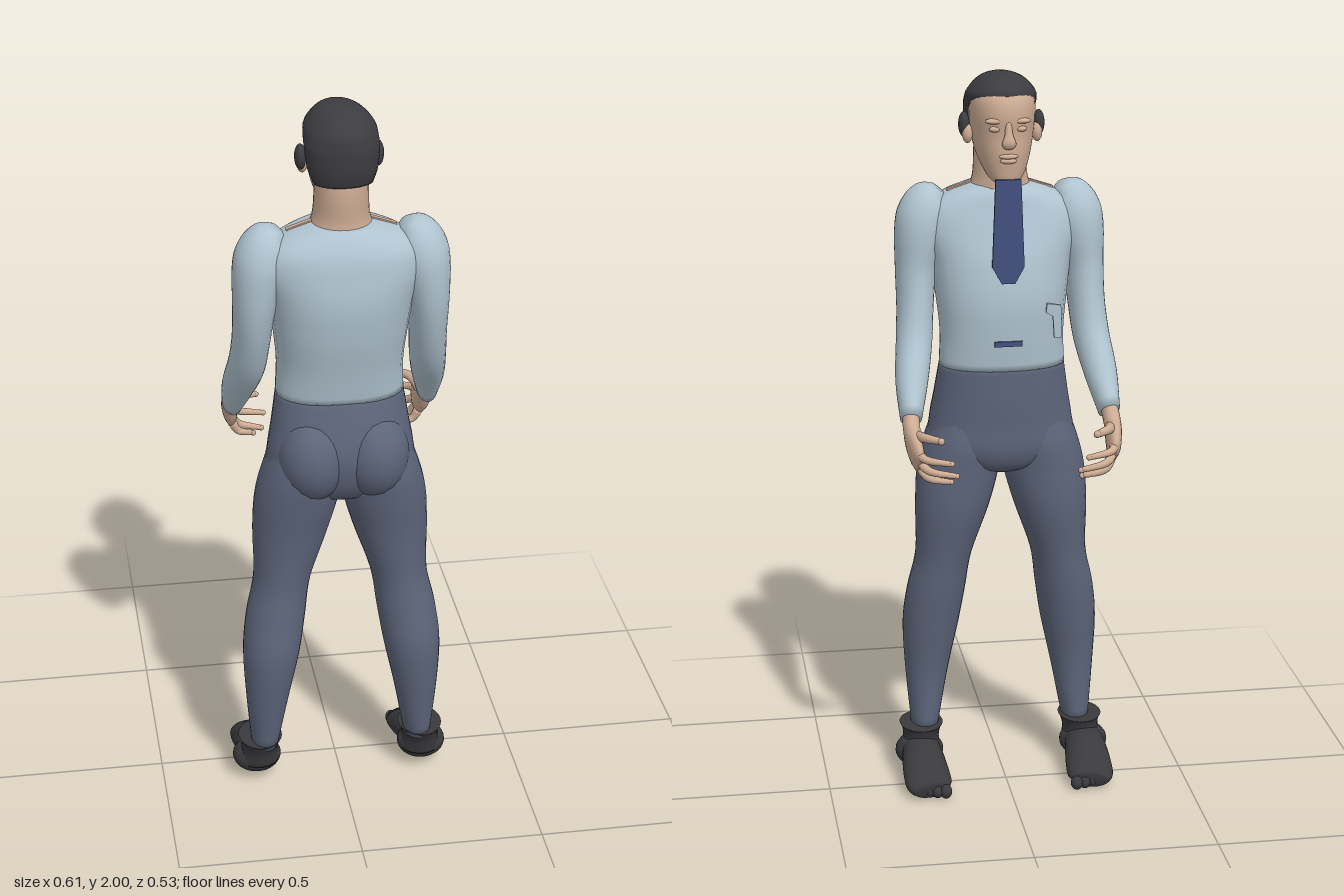
import * as THREE from 'three';

const mat = (name, color) => {
  const m = new THREE.MeshStandardMaterial({ color });
  m.name = name;
  return m;
};

// Smooth skin over rings. Each row is [x, y, z, radius across, radius deep].
function loft(rows, { flat = false, power = 2, sides = 28, sub = 5 } = {}) {
  const spline = pts => new THREE.CatmullRomCurve3(pts, false, 'catmullrom', 0.5);
  const path = spline(rows.map(r => new THREE.Vector3(r[0], r[1], r[2])));
  const size = spline(rows.map(r => new THREE.Vector3(r[3], r[4], 0)));
  const steps = (rows.length - 1) * sub;
  const pos = [], idx = [];
  const bend = v => Math.sign(v) * Math.abs(v) ** (2 / power);
  for (let i = 0; i <= steps; i++) {
    const c = path.getPoint(i / steps), r = size.getPoint(i / steps);
    const t = flat ? new THREE.Vector3(0, 1, 0) : path.getTangent(i / steps);
    if (flat && rows[0][1] > rows[rows.length - 1][1]) t.negate();
    const a = new THREE.Vector3(1, 0, 0).addScaledVector(t, -t.x).normalize();
    const b = new THREE.Vector3().crossVectors(a, t);
    for (let j = 0; j < sides; j++) {
      const th = j / sides * Math.PI * 2;
      const p = c.clone()
        .addScaledVector(a, bend(Math.cos(th)) * Math.max(r.x, 0.002))
        .addScaledVector(b, bend(Math.sin(th)) * Math.max(r.y, 0.002));
      pos.push(p.x, p.y, p.z);
    }
  }
  for (let i = 0; i < steps; i++) for (let j = 0; j < sides; j++) {
    const k = (j + 1) % sides, p = i * sides, q = p + sides;
    idx.push(p + j, q + j, p + k, p + k, q + j, q + k);
  }
  // end caps
  const first = path.getPoint(0), last = path.getPoint(1), n = pos.length / 3;
  pos.push(first.x, first.y, first.z, last.x, last.y, last.z);
  for (let j = 0; j < sides; j++) {
    const k = (j + 1) % sides, e = steps * sides;
    idx.push(n, j, k, n + 1, e + k, e + j);
  }
  const g = new THREE.BufferGeometry();
  g.setAttribute('position', new THREE.Float32BufferAttribute(pos, 3));
  g.setIndex(idx);
  g.computeVertexNormals();
  return g;
}

// Level rings for the body: [y, half width, front z, back z]
const level = (rows, power) => loft(
  rows.map(([y, w, f, b]) => [0, y, (f + b) / 2, w, (b - f) / 2]), { flat: true, power });

export function createModel() {
  const model = new THREE.Group();
  const skin = mat('skin', 0xcdac94), shirt = mat('shirt', 0xb0c4d0), trousers = mat('trousers', 0x5d657a);
  const dark = mat('hair', 0x3d3c40), shoe = mat('shoes', 0x3a393c), navy = mat('tie', 0x42517f);

  const add = (name, geo, material, parent = model) => {
    const m = new THREE.Mesh(geo, material);
    m.name = name;
    parent.add(m);
    return m;
  };
  const ball = (name, material, p, r, parent) => {
    const m = add(name, new THREE.SphereGeometry(1, 24, 16), material, parent);
    m.position.set(...p);
    m.scale.set(...r);
    return m;
  };

  // Shirt body
  add('shirtBody', level([
    [1.21, 0.171, -0.036, 0.197], [1.3, 0.168, -0.046, 0.215], [1.4, 0.178, -0.05, 0.238],
    [1.5, 0.192, -0.034, 0.25], [1.58, 0.215, -0.008, 0.243], [1.635, 0.205, 0.01, 0.232],
    [1.675, 0.15, 0.022, 0.212], [1.7, 0.08, 0.035, 0.192]], 2.3), shirt);

  // Trouser seat
  add('trouserSeat', level([
    [1.217, 0.17, -0.035, 0.196], [1.12, 0.185, -0.035, 0.225], [1.05, 0.197, -0.032, 0.235],
    [0.98, 0.2, -0.03, 0.22], [0.93, 0.14, -0.01, 0.19], [0.905, 0.05, 0.03, 0.15]], 2.2), trousers);

  // Neck and head
  add('neck', level([[1.66, 0.1, 0.03, 0.2], [1.71, 0.076, 0.028, 0.19], [1.78, 0.07, 0.03, 0.194],
    [1.85, 0.07, 0.03, 0.19]]), skin);
  const head = new THREE.Group();
  head.name = 'head';
  model.add(head);
  add('face', level([
    [1.716, 0.02, -0.03, 0.01], [1.73, 0.042, -0.041, 0.06], [1.76, 0.06, -0.046, 0.12],
    [1.8, 0.074, -0.05, 0.18], [1.85, 0.083, -0.048, 0.197], [1.9, 0.087, -0.052, 0.2],
    [1.94, 0.084, -0.043, 0.194], [1.97, 0.066, -0.018, 0.165], [1.985, 0.035, 0.02, 0.12]], 2.15), skin, head);
  add('hair', level([
    [1.815, 0.076, 0.1, 0.195], [1.85, 0.09, 0.062, 0.206], [1.9, 0.096, 0.035, 0.21],
    [1.925, 0.096, -0.005, 0.209], [1.95, 0.09, -0.036, 0.203], [1.98, 0.064, -0.015, 0.174],
    [1.995, 0.034, 0.025, 0.13], [2, 0.005, 0.07, 0.085]]), dark, head);
  add('nose', loft([[0, 1.885, -0.042, 0.008, 0.01], [0, 1.855, -0.052, 0.011, 0.011],
    [0, 1.832, -0.056, 0.019, 0.013], [0, 1.82, -0.048, 0.013, 0.007]]), skin, head);
  ball('upperLip', skin, [0, 1.797, -0.047], [0.026, 0.007, 0.011], head);
  ball('lowerLip', skin, [0, 1.785, -0.045], [0.022, 0.008, 0.011], head);

  // Tie hanging clear of the collar
  const tie = new THREE.Shape([[-0.034, 1.735], [-0.043, 1.5], [-0.018, 1.455], [0.018, 1.455], [0.043, 1.5], [0.034, 1.735]]
    .map(p => new THREE.Vector2(...p)));
  add('tie', new THREE.ExtrudeGeometry(tie, { depth: 0.009, bevelEnabled: false }), navy).position.z = -0.047;
  add('shirtSlit', new THREE.BoxGeometry(0.075, 0.014, 0.008), navy).position.set(0, 1.29, -0.046);

  // Pocket tab on one side of the chest
  const tab = new THREE.Shape([[-0.02, 1.3], [0, 1.3], [0.004, 1.36], [0.022, 1.37], [0.02, 1.395], [-0.018, 1.39]]
    .map(p => new THREE.Vector2(...p)));
  add('pocketTab', new THREE.ExtrudeGeometry(tab, { depth: 0.009, bevelEnabled: false }), shirt)
    .position.set(-0.125, 0, -0.04);

  for (const s of [1, -1]) {
    const side = s > 0 ? 'left' : 'right';
    const limb = rows => rows.map(([x, ...r]) => [x * s, ...r]);

    // Ear, eye and collar gap
    ball(side + 'EarRim', dark, [0.1 * s, 1.862, 0.078], [0.015, 0.034, 0.024], head);
    ball(side + 'EarLobe', skin, [0.093 * s, 1.84, 0.064], [0.014, 0.026, 0.016], head);
    ball(side + 'Eyelid', skin, [0.034 * s, 1.868, -0.037], [0.016, 0.008, 0.011], head);
    ball(side + 'Brow', skin, [0.034 * s, 1.889, -0.037], [0.027, 0.008, 0.013], head);
    const gap = add(side + 'CollarGap', new THREE.BoxGeometry(0.075, 0.009, 0.016), skin);
    gap.position.set(0.107 * s, 1.69, 0.112);
    gap.rotation.z = -0.32 * s;

    // Sleeve
    add(side + 'Sleeve', loft(limb([
      [0.165, 1.685, 0.118, 0.02, 0.03], [0.185, 1.66, 0.118, 0.058, 0.062], [0.203, 1.615, 0.118, 0.073, 0.08],
      [0.216, 1.56, 0.118, 0.069, 0.085], [0.228, 1.47, 0.114, 0.056, 0.08], [0.234, 1.37, 0.09, 0.05, 0.072],
      [0.242, 1.28, 0.052, 0.049, 0.062], [0.257, 1.19, -0.015, 0.044, 0.05],
      [0.268, 1.105, -0.085, 0.029, 0.044]])), shirt);

    // Hand: palm, thumb and four curled fingers
    const hand = new THREE.Group();
    hand.name = side + 'Hand';
    model.add(hand);
    add('palm', loft(limb([
      [0.268, 1.115, -0.077, 0.023, 0.032], [0.27, 1.085, -0.115, 0.023, 0.03], [0.268, 1.055, -0.15, 0.022, 0.045],
      [0.262, 1.028, -0.185, 0.018, 0.047], [0.256, 1.012, -0.203, 0.009, 0.035]]), { sides: 18 }), skin, hand);
    const digits = {
      thumb: [[0.262, 1.075, -0.135], [0.245, 1.086, -0.195], [0.207, 1.088, -0.238]],
      indexFinger: [[0.264, 1.045, -0.185], [0.245, 1.038, -0.236], [0.182, 1.032, -0.26]],
      middleFinger: [[0.262, 1.024, -0.188], [0.235, 1.002, -0.222], [0.166, 0.988, -0.23]],
      ringFinger: [[0.26, 1.008, -0.178], [0.236, 0.975, -0.197], [0.176, 0.96, -0.194]],
      littleFinger: [[0.26, 1.0, -0.158], [0.242, 0.972, -0.162], [0.203, 0.966, -0.155]],
    };
    for (const [name, [a, b, c]] of Object.entries(digits)) {
      const r = name === 'thumb' ? 0.013 : 0.0105;
      add(name, loft(limb([[...a, r * 1.2, r * 1.2], [...b, r, r], [...c, r * 0.7, r * 0.7]]), { sides: 12 }), skin, hand);
      ball(name + 'Tip', skin, [c[0] * s, c[1], c[2]], [r * 0.75, r * 0.75, r * 0.75], hand);
    }

    // Trouser leg and buttock
    ball(side + 'Buttock', trousers, [0.083 * s, 1.045, 0.15], [0.094, 0.125, 0.109]);
    add(side + 'TrouserLeg', loft(limb([
      [0.1, 1.1, 0.105, 0.07, 0.1], [0.107, 1, 0.104, 0.102, 0.124], [0.119, 0.91, 0.1, 0.113, 0.119],
      [0.137, 0.8, 0.093, 0.102, 0.108], [0.161, 0.66, 0.1, 0.078, 0.091], [0.181, 0.55, 0.113, 0.081, 0.09],
      [0.196, 0.44, 0.128, 0.078, 0.088], [0.208, 0.3, 0.13, 0.06, 0.07], [0.217, 0.13, 0.117, 0.037, 0.057]]),
    { flat: true }), trousers);

    // Shoe with flared cuff, heel and toes
    const foot = new THREE.Group();
    foot.name = side + 'Shoe';
    model.add(foot);
    add('cuff', loft(limb([[0.232, 0.06, 0.088, 0.06, 0.06], [0.23, 0.105, 0.098, 0.051, 0.062],
      [0.228, 0.132, 0.103, 0.054, 0.07], [0.228, 0.146, 0.104, 0.061, 0.077]]), { flat: true }), shoe, foot);
    ball('heel', shoe, [0.236, 0.07, 0.085].map((v, i) => i ? v : v * s), [0.068, 0.05, 0.06], foot);
    add('upper', loft(limb([[0.233, 0.085, 0.085, 0.05, 0.04], [0.233, 0.07, 0.03, 0.058, 0.05],
      [0.231, 0.049, -0.03, 0.064, 0.043], [0.228, 0.034, -0.08, 0.064, 0.032],
      [0.222, 0.028, -0.11, 0.05, 0.022]])), shoe, foot);
    for (let i = 0; i < 5; i++) {
      const r = 0.02 - i * 0.0018;
      ball('toe', shoe, [(0.185 + i * 0.023) * s, 0.022, -0.107 + i * i * 0.0025], [r * 0.85, r, r], foot);
    }
  }
  return model;
}
